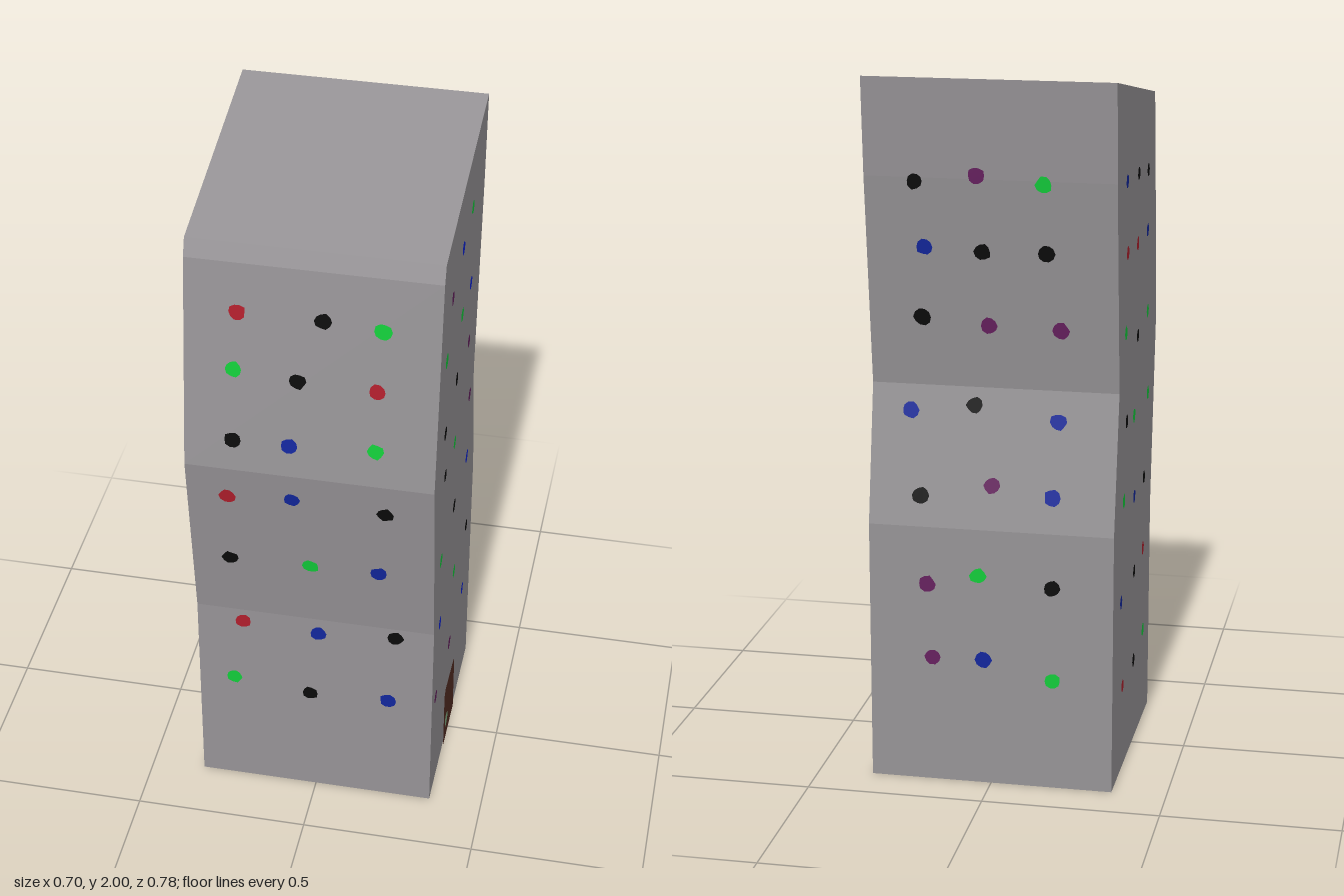
import * as THREE from 'three';

const HALF = 0.345;   // half width of the tower
const LIFT = 0.003;   // painted details sit just above the walls

// Side profile as [z, y], bottom to top
const frontLine = [[0.32, 0], [0.32, 0.65], [0.39, 1.21], [0.313, 1.83], [0.295, 1.88]];
const backLine = [[-0.37, 0], [-0.37, 0.75], [-0.30, 1.14], [-0.37, 1.73], [-0.39, 2]];

// Depth of a wall line at a given height
function depthAt(line, y) {
  let i = 1;
  while (i < line.length - 1 && y > line[i][1]) i++;
  const [z0, y0] = line[i - 1], [z1, y1] = line[i];
  return z0 + (z1 - z0) * (y - y0) / (y1 - y0);
}

function paint(name, color) {
  const m = new THREE.MeshStandardMaterial({ color });
  m.name = name;
  return m;
}

let seed = 7;
function random() {
  seed = (seed * 16807) % 2147483647;
  return seed / 2147483647;
}

// Small uneven disc
function blob(radius) {
  const shape = new THREE.Shape();
  const n = 10;
  for (let i = 0; i < n; i++) {
    const a = i / n * Math.PI * 2;
    const r = radius * (0.88 + 0.24 * random());
    const x = Math.cos(a) * r, y = Math.sin(a) * r;
    if (i) shape.lineTo(x, y); else shape.moveTo(x, y);
  }
  return new THREE.ShapeGeometry(shape);
}

// Windows as [across, height, colour]; across is x on front and back, z on the sides
const frontWindows = [
  [-0.20, 1.69, 'R'], [0.03, 1.69, 'K'], [0.19, 1.68, 'G'],
  [-0.21, 1.52, 'G'], [-0.035, 1.505, 'K'], [0.18, 1.50, 'R'],
  [-0.21, 1.305, 'K'], [-0.055, 1.305, 'B'], [0.18, 1.32, 'G'],
  [-0.23, 1.11, 'R'], [-0.05, 1.125, 'B'], [0.21, 1.11, 'K'],
  [-0.235, 0.865, 'K'], [-0.005, 0.87, 'G'], [0.19, 0.875, 'B'],
  [-0.21, 0.61, 'R'], [0.01, 0.60, 'B'], [0.235, 0.62, 'K'],
  [-0.24, 0.39, 'G'], [-0.015, 0.365, 'K'], [0.215, 0.375, 'B'],
];
const leftWindows = [
  [0.18, 1.705, 'P'], [0.012, 1.755, 'L'], [-0.14, 1.79, 'G'],
  [0.255, 1.555, 'G'], [-0.005, 1.53, 'G'], [-0.15, 1.54, 'L'],
  [0.24, 1.305, 'K'], [0.06, 1.36, 'K'], [-0.152, 1.34, 'P'],
  [0.22, 1.145, 'K'], [0.058, 1.14, 'G'], [-0.212, 1.115, 'P'],
  [0.247, 0.865, 'G'], [0.028, 0.89, 'K'], [-0.198, 0.90, 'L'],
  [0.232, 0.62, 'L'], [-0.016, 0.61, 'G'], [-0.243, 0.605, 'K'],
  [0.27, 0.37, 'P'], [0.03, 0.37, 'P'], [-0.204, 0.387, 'L'],
];
const backWindows = [
  [0.205, 1.72, 'K'], [0.035, 1.74, 'P'], [-0.147, 1.72, 'G'],
  [0.183, 1.537, 'B'], [0.024, 1.53, 'K'], [-0.15, 1.53, 'K'],
  [0.197, 1.337, 'K'], [0.01, 1.32, 'P'], [-0.187, 1.314, 'P'],
  [0.235, 1.07, 'B'], [0.055, 1.09, 'K'], [-0.18, 1.056, 'B'],
  [0.20, 0.837, 'K'], [0, 0.874, 'P'], [-0.17, 0.85, 'B'],
  [0.18, 0.585, 'P'], [0.035, 0.617, 'G'], [-0.172, 0.593, 'K'],
  [0.166, 0.37, 'P'], [0.02, 0.37, 'B'], [-0.176, 0.32, 'G'],
];
const rightWindows = [
  [-0.215, 1.71, 'B'], [-0.007, 1.695, 'K'], [0.174, 1.675, 'K'],
  [-0.194, 1.51, 'R'], [-0.012, 1.50, 'R'], [0.174, 1.50, 'B'],
  [-0.21, 1.29, 'G'], [0.008, 1.23, 'K'], [0.195, 1.26, 'G'],
  [-0.18, 1.03, 'K'], [-0.044, 1.01, 'G'], [0.22, 1.007, 'G'],
  [-0.215, 0.81, 'G'], [-0.023, 0.764, 'B'], [0.164, 0.767, 'K'],
  [-0.246, 0.523, 'B'], [-0.007, 0.533, 'K'], [0.16, 0.55, 'R'],
  [-0.204, 0.256, 'R'], [0, 0.258, 'K'], [0.18, 0.288, 'G'],
];

export function createModel() {
  const model = new THREE.Group();
  model.name = 'crookedTower';
  const wall = paint('concrete grey', 0x969396);
  const brown = paint('door brown', 0x522c22);
  const knobGreen = paint('knob green', 0x83ad83);
  const glass = {
    R: paint('window red', 0xb01e2c), G: paint('window green', 0x12cc3a),
    B: paint('window dark blue', 0x12269c), L: paint('window bright blue', 0x0c24d6),
    K: paint('window black', 0x0a0a0a), P: paint('window purple', 0x66205f),
  };

  function add(parent, name, geometry, material) {
    const mesh = new THREE.Mesh(geometry, material);
    mesh.name = name;
    parent.add(mesh);
    return mesh;
  }

  // Bent tower with a sloping roof
  const outline = [...frontLine, ...[...backLine].reverse()].map(([z, y]) => new THREE.Vector2(-z, y));
  const body = new THREE.ExtrudeGeometry(new THREE.Shape(outline), { depth: 2 * HALF, bevelEnabled: false });
  body.rotateY(Math.PI / 2).translate(-HALF, 0, 0);
  add(model, 'tower', body, wall);

  // Windows on the bent front and back walls follow the wall's slope
  function bentWall(name, list, line, side) {
    const group = new THREE.Group();
    group.name = name;
    for (const [x, y, c] of list) {
      const g = blob(0.023);
      if (side < 0) g.rotateY(Math.PI);
      g.translate(x, y, 0);
      const p = g.attributes.position;
      for (let i = 0; i < p.count; i++) p.setZ(i, depthAt(line, p.getY(i)) + side * LIFT);
      g.computeVertexNormals();
      add(group, 'window', g, glass[c]);
    }
    model.add(group);
  }
  bentWall('frontWindows', frontWindows, frontLine, 1);
  bentWall('backWindows', backWindows, backLine, -1);

  // Windows on the flat side walls
  function sideWall(name, list, side) {
    const group = new THREE.Group();
    group.name = name;
    for (const [z, y, c] of list) {
      const g = blob(0.02).rotateY(side * Math.PI / 2).translate(side * (HALF + LIFT), y, z);
      add(group, 'window', g, glass[c]);
    }
    model.add(group);
  }
  sideWall('leftWindows', leftWindows, 1);
  sideWall('rightWindows', rightWindows, -1);

  // Door and knob on the left wall
  const doorShape = new THREE.Shape([
    [-0.085, 0], [0.097, 0], [0.092, 0.195], [0.078, 0.208], [-0.07, 0.217], [-0.088, 0.2],
  ].map(([x, y]) => new THREE.Vector2(x, y)));
  const door = new THREE.ShapeGeometry(doorShape).rotateY(Math.PI / 2).translate(HALF + LIFT, 0, 0);
  add(model, 'door', door, brown);
  const knob = blob(0.024).rotateY(Math.PI / 2).translate(HALF + 2 * LIFT, 0.088, 0.06);
  add(model, 'doorKnob', knob, knobGreen);

  return model;
}
